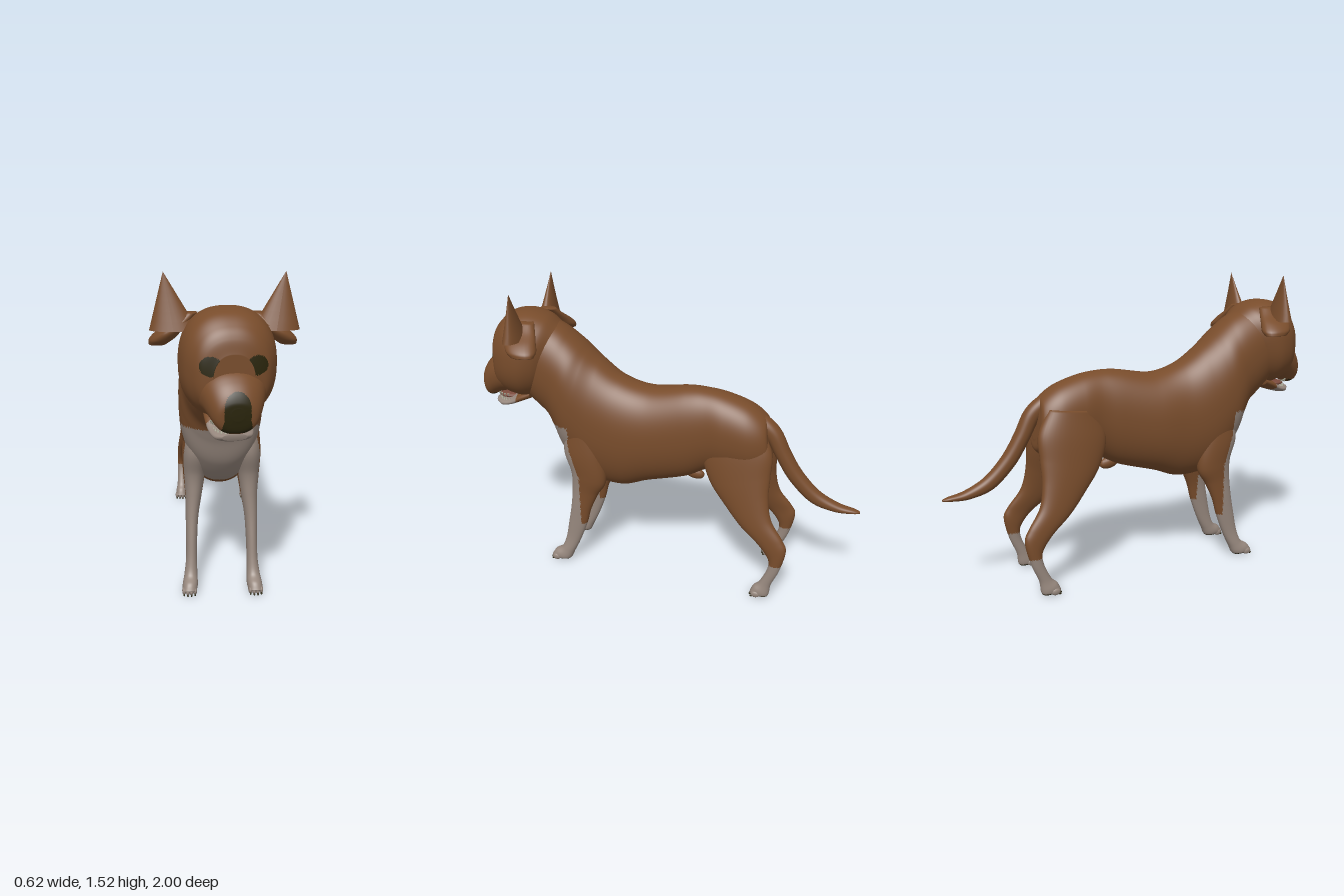
import * as THREE from 'three';

const mat = (name, color) => {
  const m = new THREE.MeshStandardMaterial({ color });
  m.name = name;
  return m;
};

export function createModel() {
  const coat = mat('brown coat', 0x784c2b);
  const white = mat('pale markings', 0x96877d);
  const dark = mat('dark nose and eyes', 0x2a250c);
  const teethMat = mat('teeth', 0xa8a894);
  const tongueMat = mat('tongue', 0x7a4a3c);
  const palette = [coat, white, dark];
  const model = new THREE.Group();
  model.name = 'dog';

  // Smooth loft. Each section: [z, y of one edge, z, y of the opposite edge, centre x, half width].
  // paint(x, y, z) picks the palette index of each face.
  function loft(name, sections, paint = () => 0, { parent = model, rings = 70, segs = 40, power = 2.2 } = {}) {
    const a = new THREE.CatmullRomCurve3(sections.map(s => new THREE.Vector3(s[4], s[1], s[0])), false, 'catmullrom', 0.5);
    const b = new THREE.CatmullRomCurve3(sections.map(s => new THREE.Vector3(s[5], s[3], s[2])), false, 'catmullrom', 0.5);
    const soft = v => Math.sign(v) * Math.pow(Math.abs(v), 2 / power);
    const pos = [];
    for (let i = -1; i <= rings + 1; i++) {
      const t = Math.min(Math.max(i / rings, 0), 1);
      const size = i < 0 || i > rings ? 0.001 : 1; // end rings close the shape
      const p = a.getPoint(t), q = b.getPoint(t);
      for (let j = 0; j < segs; j++) {
        const ang = (j / segs) * Math.PI * 2;
        const c = soft(Math.cos(ang)) * size / 2, s = soft(Math.sin(ang)) * size;
        pos.push(p.x + q.x * s, (p.y + q.y) / 2 + (p.y - q.y) * c, (p.z + q.z) / 2 + (p.z - q.z) * c);
      }
    }
    const faces = [[], [], []];
    const point = i => new THREE.Vector3().fromArray(pos, i * 3);
    let volume = 0;
    const addFace = (i, j, k) => {
      const A = point(i), B = point(j), C = point(k);
      volume += A.dot(B.clone().cross(C));
      const m = A.add(B).add(C).divideScalar(3);
      faces[paint(m.x, m.y, m.z)].push([i, j, k]);
    };
    for (let i = 0; i < rings + 2; i++) {
      for (let j = 0; j < segs; j++) {
        const k = (j + 1) % segs, r = i * segs, n = r + segs;
        addFace(r + j, n + j, n + k);
        addFace(r + j, n + k, r + k);
      }
    }
    const geo = new THREE.BufferGeometry();
    geo.setAttribute('position', new THREE.Float32BufferAttribute(pos, 3));
    const index = [];
    faces.forEach((list, m) => {
      if (!list.length) return;
      geo.addGroup(index.length, list.length * 3, m);
      list.forEach(f => index.push(...(volume < 0 ? [f[0], f[2], f[1]] : f)));
    });
    geo.setIndex(index);
    geo.computeVertexNormals();
    const mesh = new THREE.Mesh(geo, palette);
    mesh.name = name;
    parent.add(mesh);
    return mesh;
  }

  function ball(name, material, p, r, parent = model) {
    const mesh = new THREE.Mesh(new THREE.SphereGeometry(1, 14, 10), material);
    mesh.name = name;
    mesh.position.set(...p);
    mesh.scale.set(...r);
    parent.add(mesh);
    return mesh;
  }

  // Torso and neck, with a pale chest
  loft('torso', [
    [-0.515, 0.91, -0.54, 0.74, 0.025, 0.05], [-0.5, 0.95, -0.535, 0.68, 0.025, 0.1],
    [-0.42, 1.005, -0.45, 0.63, 0.025, 0.133], [-0.3, 1.045, -0.32, 0.63, 0.025, 0.136],
    [-0.2, 1.06, -0.22, 0.625, 0.024, 0.13], [-0.1, 1.06, -0.1, 0.565, 0.02, 0.143],
    [0.1, 1.035, 0.1, 0.51, 0.01, 0.167], [0.25, 1.075, 0.25, 0.463, 0.008, 0.175],
    [0.36, 1.15, 0.42, 0.495, 0, 0.183], [0.42, 1.2, 0.555, 0.63, 0, 0.19],
    [0.46, 1.235, 0.61, 0.76, 0, 0.188], [0.51, 1.275, 0.645, 0.83, 0, 0.178],
    [0.56, 1.31, 0.7, 0.88, 0, 0.172], [0.66, 1.36, 0.765, 0.94, 0, 0.165],
  ], (x, y, z) => (y < 0.82 && z > (y < 0.6 ? 0.45 : 0.5) ? 1 : 0), { rings: 200, segs: 90 });
  const sheath = ball('sheath', coat, [0.015, 0.575, -0.14], [0.025, 0.032, 0.055]);
  sheath.rotation.x = -0.25;

  loft('tail', [
    [-0.43, 0.98, -0.44, 0.9, 0.028, 0.035], [-0.51, 0.945, -0.47, 0.865, 0.032, 0.045],
    [-0.58, 0.88, -0.515, 0.825, 0.035, 0.045], [-0.635, 0.77, -0.565, 0.735, 0.035, 0.045],
    [-0.7, 0.665, -0.637, 0.62, 0.035, 0.042], [-0.79, 0.57, -0.75, 0.51, 0.035, 0.037],
    [-0.89, 0.515, -0.87, 0.472, 0.035, 0.031], [-0.97, 0.495, -0.965, 0.472, 0.035, 0.021],
    [-1, 0.485, -1, 0.476, 0.035, 0.007],
  ]);

  // Legs: [front z, y, back z, y, side x, half width] from the shoulder or hip down to the toes
  const foreleg = [
    [0.52, 0.82, 0.36, 0.82, 0.11, 0.06], [0.54, 0.68, 0.32, 0.64, 0.12, 0.064],
    [0.505, 0.56, 0.315, 0.51, 0.128, 0.052], [0.502, 0.46, 0.36, 0.43, 0.132, 0.04],
    [0.512, 0.35, 0.4, 0.34, 0.14, 0.031], [0.53, 0.25, 0.425, 0.25, 0.143, 0.027],
    [0.55, 0.15, 0.467, 0.14, 0.145, 0.026], [0.575, 0.085, 0.505, 0.06, 0.149, 0.031],
    [0.615, 0.058, 0.535, 0.008, 0.153, 0.036], [0.635, 0.03, 0.6, 0.006, 0.156, 0.03],
  ];
  const hindLeg = [
    [-0.24, 0.88, -0.49, 0.9, 0.065, 0.055], [-0.2, 0.74, -0.55, 0.78, 0.09, 0.058],
    [-0.245, 0.6, -0.552, 0.66, 0.112, 0.056], [-0.33, 0.49, -0.552, 0.55, 0.138, 0.046],
    [-0.42, 0.39, -0.575, 0.44, 0.162, 0.037], [-0.52, 0.305, -0.64, 0.345, 0.182, 0.028],
    [-0.575, 0.23, -0.663, 0.285, 0.188, 0.027], [-0.575, 0.17, -0.637, 0.17, 0.192, 0.024],
    [-0.54, 0.09, -0.6, 0.08, 0.193, 0.025], [-0.51, 0.06, -0.585, 0.008, 0.196, 0.031],
    [-0.495, 0.03, -0.52, 0.006, 0.196, 0.027],
  ];
  const forePaint = (x, y, z) => (y < 0.014 ? 2 : y < 0.25 || (y < 0.82 && z > 0.45 + Math.max(0, y - 0.54) * 0.3) ? 1 : 0);
  const hindPaint = (x, y) => (y < 0.014 ? 2 : y < 0.2 ? 1 : 0);

  for (const s of [1, -1]) {
    const side = s > 0 ? 'left' : 'right';
    const place = list => list.map(p => [...p.slice(0, 4), s * p[4] + 0.007, p[5]]);
    loft(side + 'Foreleg', place(foreleg), forePaint, { rings: 120 });
    loft(side + 'HindLeg', place(hindLeg), hindPaint, { rings: 120 });

    // Toes with claws
    for (const [x, z] of [[s * 0.156 + 0.007, 0.617], [s * 0.196 + 0.007, -0.513]]) {
      for (let i = 0; i < 4; i++) {
        const tx = x + (i - 1.5) * 0.017, tz = z - Math.abs(i - 1.5) * 0.008;
        ball(side + 'Toe', white, [tx, 0.021, tz], [0.01, 0.018, 0.024]);
        ball(side + 'Claw', dark, [tx, 0.009, tz + 0.021], [0.004, 0.006, 0.007]);
      }
    }

    // Pointed ear: a flat oval cone leaning outward
    const cone = new THREE.ConeGeometry(1, 0.235, 28, 6);
    const v = cone.attributes.position;
    for (let i = 0; i < v.count; i++) {
      const h = v.getY(i) / 0.235 + 0.5;
      v.setXYZ(i, v.getX(i) * 0.1 + s * h * 0.04, v.getY(i), v.getZ(i) * (0.048 - h * 0.012) - h * 0.008);
    }
    cone.computeVertexNormals();
    const ear = new THREE.Mesh(cone, coat);
    ear.name = side + 'Ear';
    ear.position.set(s * 0.208 + 0.005, 1.407, 0.73);
    model.add(ear);

    // Folded flap hanging below the ear
    loft(side + 'EarFlap', [
      [0.74, 1.36, 0.66, 1.355, s * 0.135, 0.03], [0.765, 1.322, 0.64, 1.317, s * 0.175, 0.036],
      [0.775, 1.285, 0.62, 1.28, s * 0.22, 0.05], [0.76, 1.25, 0.605, 1.245, s * 0.253, 0.052],
      [0.73, 1.224, 0.61, 1.222, s * 0.272, 0.038],
    ], undefined, { rings: 24, segs: 24 });
  }

  // Head, turned slightly to its left
  const head = new THREE.Group();
  head.name = 'head';
  head.position.set(0.004, 0, 0.68);
  head.rotation.y = 0.125;
  const inner = new THREE.Group();
  inner.name = 'headParts';
  inner.position.z = -0.678;
  head.add(inner);
  model.add(head);

  // Skull with painted eyes
  const eye = (x, y, z) => (z > 0.8 && ((Math.abs(x) - 0.094) / 0.044) ** 2 + ((y - 1.18) / 0.04) ** 2 < 1 ? 2 : 0);
  loft('skull', [
    [0.58, 1.32, 0.7, 0.95, 0, 0.15], [0.64, 1.365, 0.74, 0.94, 0, 0.185],
    [0.73, 1.39, 0.78, 0.935, 0, 0.203], [0.82, 1.377, 0.83, 0.945, 0, 0.192],
    [0.88, 1.33, 0.87, 0.96, 0, 0.165], [0.908, 1.285, 0.9, 0.975, 0, 0.135],
    [0.921, 1.225, 0.92, 1.0, 0, 0.085],
  ], eye, { parent: inner, rings: 110, segs: 100, power: 2.35 });

  // Muzzle with painted nose
  const nose = (x, y, z) => {
    const half = y > 1.03 ? 0.053 * Math.sqrt(Math.max(0, 1 - ((y - 1.03) / 0.065) ** 2)) : 0.053 + Math.max(0, 0.98 - y) * 0.25;
    return z > 0.94 && y > 0.925 && Math.abs(x) < half ? 2 : eye(x, y, z);
  };
  loft('muzzle', [
    [0.8, 1.17, 0.77, 0.955, 0, 0.175], [0.87, 1.17, 0.83, 0.955, 0, 0.153],
    [0.917, 1.155, 0.88, 0.95, 0, 0.132], [0.955, 1.125, 0.92, 0.936, 0, 0.115],
    [0.983, 1.09, 0.96, 0.918, 0, 0.095], [0.998, 1.055, 0.985, 0.932, 0, 0.071],
    [1.0, 1.03, 0.997, 0.98, 0, 0.025],
  ], nose, { parent: inner, rings: 80, segs: 90 });

  // Lower jaw, tongue and teeth
  loft('lowerJaw', [
    [0.74, 0.98, 0.74, 0.92, 0, 0.1], [0.8, 0.955, 0.79, 0.9, 0, 0.1],
    [0.85, 0.922, 0.845, 0.88, 0, 0.094], [0.905, 0.91, 0.9, 0.868, 0, 0.08],
    [0.94, 0.908, 0.932, 0.878, 0, 0.05],
  ], (x, y, z) => (z > 0.82 ? 1 : 0), { parent: inner, rings: 40 });
  ball('tongue', tongueMat, [0, 0.92, 0.87], [0.055, 0.016, 0.064], inner);
  const toothGeo = new THREE.ConeGeometry(0.006, 0.017, 8);
  for (let i = 0; i < 13; i++) {
    const ang = (i / 12 - 0.5) * Math.PI * 0.95;
    for (const upper of [true, false]) {
      const tooth = new THREE.Mesh(toothGeo, teethMat);
      tooth.name = upper ? 'upperTooth' : 'lowerTooth';
      tooth.position.set(Math.sin(ang) * (upper ? 0.084 : 0.072), upper ? 0.938 : 0.912, 0.855 + Math.cos(ang) * (upper ? 0.082 : 0.07));
      if (upper) tooth.rotation.x = Math.PI;
      inner.add(tooth);
    }
  }
  return model;
}
